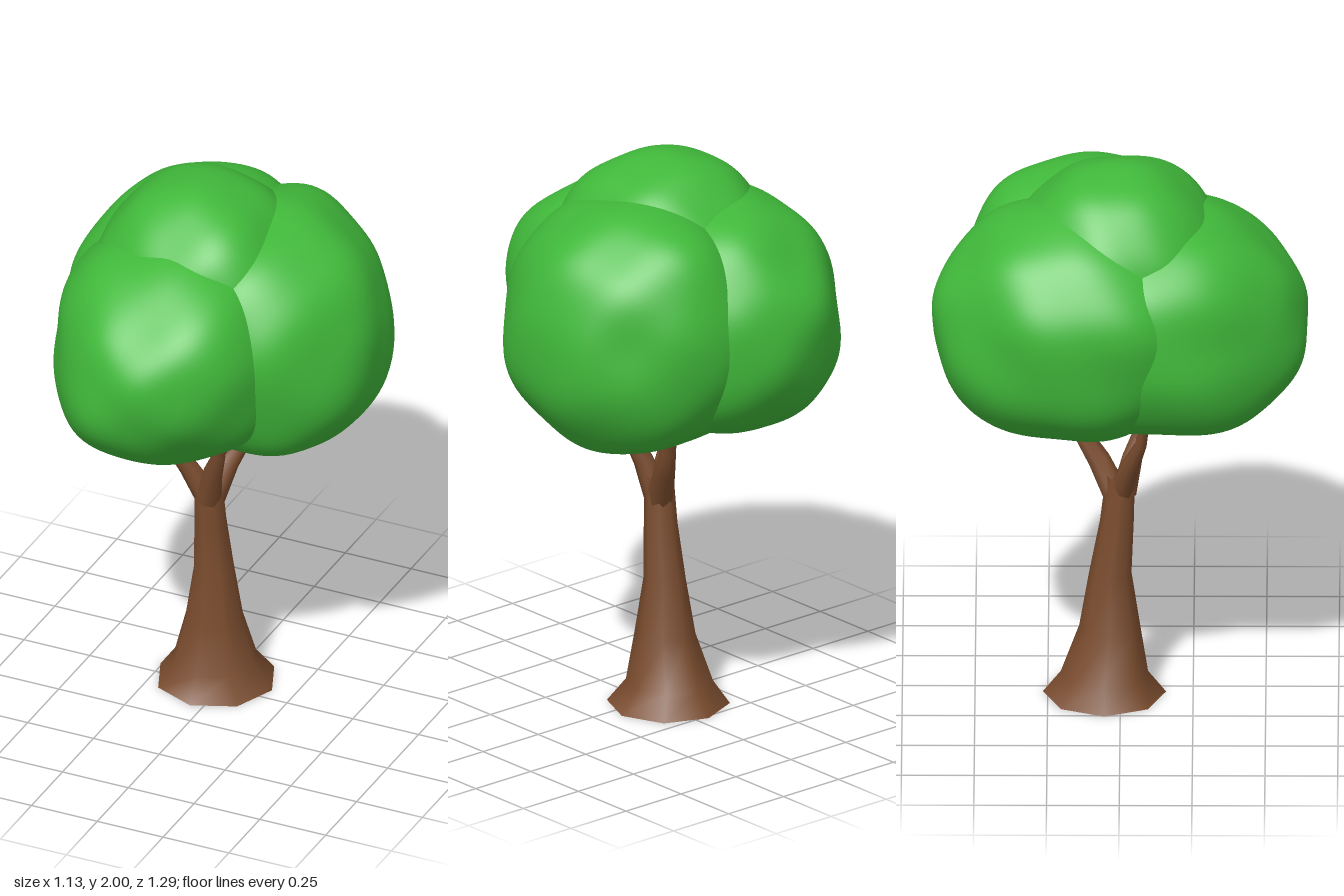
import * as THREE from 'three';
import { mergeVertices } from 'three/addons/utils/BufferGeometryUtils.js';

const bark = new THREE.MeshStandardMaterial({ color: 0x7a4c2e, side: THREE.DoubleSide });
const leaf = new THREE.MeshStandardMaterial({ color: 0x40b83a });
const UP = new THREE.Vector3(0, 1, 0);

// Weld vertices so that normals run smoothly over the whole surface
function smooth(geometry) {
  geometry.deleteAttribute('normal');
  geometry.deleteAttribute('uv');
  const welded = mergeVertices(geometry, 1e-4);
  welded.computeVertexNormals();
  return welded;
}

// Tapered limb through rows of [x, y, z, radius]
function limb(name, rows, sides, level = false) {
  const n = rows.length - 1;
  const points = rows.map(([x, y, z]) => new THREE.Vector3(x, y, z));
  const turns = points.map((p, i) => {
    const along = points[Math.min(i + 1, n)].clone().sub(points[Math.max(i - 1, 0)]).normalize();
    return new THREE.Quaternion().setFromUnitVectors(UP, level ? UP : along);
  });
  const geometry = new THREE.CylinderGeometry(1, 1, 1, sides, n, true);
  const pos = geometry.attributes.position;
  const v = new THREE.Vector3();
  for (let i = 0; i < pos.count; i++) {
    v.fromBufferAttribute(pos, i);
    const k = Math.round((v.y + 0.5) * n);
    v.setY(0).multiplyScalar(rows[k][3]).applyQuaternion(turns[k]).add(points[k]);
    pos.setXYZ(i, v.x, v.y, v.z);
  }
  const mesh = new THREE.Mesh(smooth(geometry), bark);
  mesh.name = name;
  return mesh;
}

// Foliage mass, boxier below than above; bumps are [x, y, z, height] swellings or dents
function foliage(name, centre, radii, bumps, phase) {
  const geometry = new THREE.IcosahedronGeometry(1, 20);
  const pos = geometry.attributes.position;
  const d = new THREE.Vector3();
  const swellings = bumps.map(([x, y, z, h]) => [new THREE.Vector3(x, y, z).normalize(), h]);
  for (let i = 0; i < pos.count; i++) {
    d.fromBufferAttribute(pos, i).normalize();
    const power = 2.15 - 0.2 * d.y;
    let r = Math.pow(
      Math.abs(d.x) ** power + Math.abs(d.y) ** power + Math.abs(d.z) ** power, -1 / power);
    r += 0.012 * Math.sin(8 * d.x + phase) * Math.sin(7 * d.y + 2 * phase)
      + 0.01 * Math.sin(9 * d.z + 3 * phase + 4 * d.y);
    for (const [axis, h] of swellings) r += h * Math.exp((axis.dot(d) - 1) * 12);
    pos.setXYZ(i, ...[d.x, d.y, d.z].map((c, k) => centre[k] + c * r * radii[k]));
  }
  const mesh = new THREE.Mesh(smooth(geometry), leaf);
  mesh.name = name;
  return mesh;
}

export function createModel() {
  const tree = new THREE.Group();
  tree.name = 'tree';

  // Flared trunk, open underneath
  tree.add(limb('trunk', [
    [-0.045, 0, -0.055, 0.212], [-0.05, 0.08, -0.055, 0.15], [-0.045, 0.25, -0.037, 0.105],
    [-0.045, 0.45, -0.035, 0.073], [-0.047, 0.65, -0.012, 0.058], [-0.05, 0.82, 0, 0.05],
  ], 8, true));

  // Main branches and their twigs
  const branches = new THREE.Group();
  branches.name = 'branches';
  [
    [[-0.05, 0.75, 0, 0.045], [-0.11, 0.87, 0.03, 0.034], [-0.18, 0.99, 0.07, 0.021], [-0.2, 1.2, 0.1, 0.014]],
    [[-0.045, 0.73, -0.01, 0.047], [-0.01, 0.86, -0.075, 0.04], [0.035, 0.96, -0.145, 0.03], [0.06, 1.2, -0.16, 0.022]],
    [[-0.045, 0.75, 0.01, 0.045], [-0.015, 0.87, 0.04, 0.036], [0.025, 0.97, 0.075, 0.024], [0.04, 1.2, 0.13, 0.016]],
    [[-0.17, 0.98, 0.07, 0.014], [-0.06, 1.06, 0.05, 0.011], [0, 1.16, 0.03, 0.009]],
    [[0.03, 0.95, -0.14, 0.018], [0.01, 1.03, -0.03, 0.012], [0, 1.16, 0.02, 0.01]],
    [[0.02, 0.96, 0.07, 0.017], [0.07, 1.05, 0.08, 0.013], [0.13, 1.16, 0.06, 0.01]],
    [[0.01, 0.93, 0.06, 0.018], [-0.005, 1.04, 0.07, 0.015], [-0.02, 1.16, 0.04, 0.012]],
  ].forEach((rows, i) => branches.add(limb(i < 3 ? 'branch' : 'twig', rows, 7)));
  tree.add(branches);

  // Crown of four deeply overlapping masses
  const crown = new THREE.Group();
  crown.name = 'crown';
  crown.add(
    foliage('frontFoliage', [-0.1, 1.46, 0.12], [0.42, 0.4, 0.53], [
      [-0.8, -0.6, 0.2, 0.04], [-0.7, 0.65, 0.2, 0.04], [0, 0.65, 0.75, -0.04],
      [-0.7, 0.1, 0.7, -0.09], [0.65, 0.45, 0.5, 0.04], [0.8, -0.4, 0.3, 0.04],
      [0.5, -0.45, 0.75, -0.06], [-0.35, -0.75, 0.55, 0.05], [0.5, 0.75, 0.2, 0.04],
    ], 0.4),
    foliage('leftFoliage', [0.13, 1.46, -0.08], [0.435, 0.44, 0.45], [
      [0.1, 0.8, -0.6, 0.09], [0.2, 0.7, 0.6, 0.04], [0.65, 0.1, -0.7, -0.045],
      [0.65, 0.75, 0.1, 0.03], [-0.1, 0.2, -0.95, 0.05],
      [0.4, -0.8, -0.1, 0.03], [0.85, -0.4, 0.1, 0.03],
    ], 1.7),
    foliage('backFoliage', [-0.15, 1.47, -0.17], [0.415, 0.42, 0.48], [
      [-0.7, 0, -0.7, -0.06], [-0.4, 0.85, 0, 0.02], [-0.75, 0.2, 0.55, 0.06],
      [-0.1, 0.7, -0.7, -0.03], [0.5, 0.1, -0.85, -0.04], [-0.6, -0.6, 0.3, 0.03],
      [0.1, 0.85, -0.5, 0.02],
    ], 3.1),
    foliage('topFoliage', [-0.07, 1.6, -0.01], [0.38, 0.395, 0.385], [
      [-0.55, 0.8, 0.1, 0.03], [0, 1, 0, 0.02], [0.5, 0.6, 0.5, 0.05], [-0.3, 0.8, -0.5, 0.03],
    ], 4.6),
  );
  tree.add(crown);
  return tree;
}
